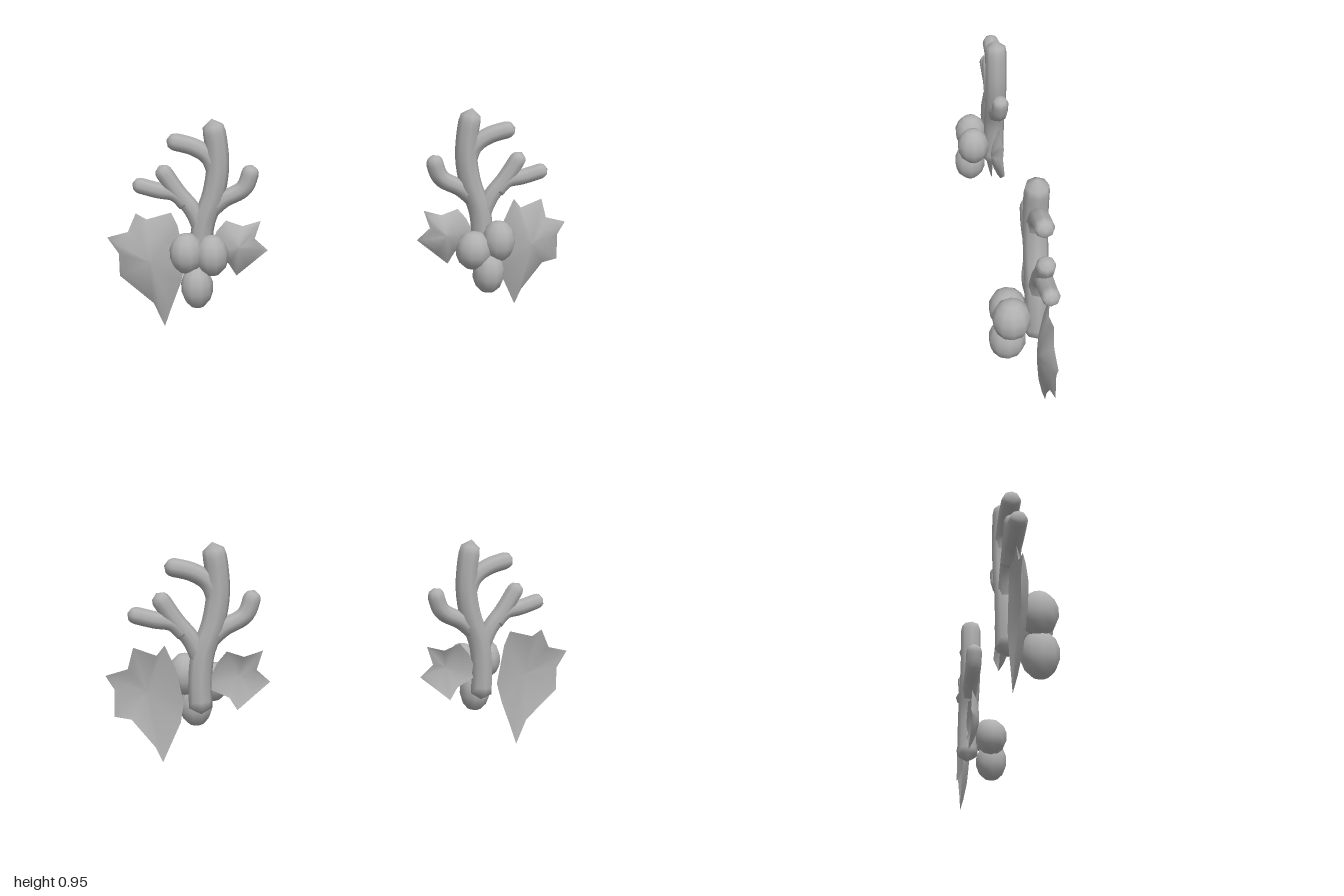
import * as THREE from 'three';
import { mergeVertices } from 'three/addons/utils/BufferGeometryUtils.js';

const grey = new THREE.MeshStandardMaterial({ color: 0xb0b0b0 });
grey.name = 'matte grey';

// Outlines of the leaves, [x, y]
const outerLeafRight = [[0.783, 0.056], [0.81, 0.123], [0.9, 0.248], [0.965, 0.265], [0.96, 0.377], [0.992, 0.436],
  [0.905, 0.457], [0.88, 0.543], [0.79, 0.505], [0.757, 0.545], [0.715, 0.44], [0.69, 0.3], [0.705, 0.22]];
const outerLeafLeft = [[-0.776, 0], [-0.82, 0.11], [-0.957, 0.24], [-0.955, 0.34], [-1, 0.414], [-0.912, 0.436],
  [-0.874, 0.518], [-0.83, 0.49], [-0.725, 0.518], [-0.7, 0.457], [-0.672, 0.286], [-0.7, 0.195], [-0.745, 0.083]];
const innerLeaf = [[0.334, 0.366], [0.39, 0.42], [0.361, 0.5], [0.44, 0.478], [0.51, 0.505], [0.55, 0.46],
  [0.6, 0.36], [0.505, 0.31], [0.473, 0.254], [0.42, 0.297]];

// Antler branches: name, radius, path points
const branches = [
  ['stem', 0.048, [[0.62, 0.245], [0.62, 0.38], [0.605, 0.5], [0.56, 0.62], [0.537, 0.74], [0.54, 0.85], [0.555, 0.95]]],
  ['topProng', 0.038, [[0.54, 0.7], [0.57, 0.785], [0.63, 0.83], [0.745, 0.863]]],
  ['innerProng', 0.037, [[0.6, 0.53], [0.52, 0.6], [0.43, 0.65], [0.39, 0.75]]],
  ['outerProng', 0.037, [[0.61, 0.46], [0.65, 0.56], [0.71, 0.64], [0.78, 0.755]]],
  ['outerSideProng', 0.035, [[0.67, 0.58], [0.72, 0.632], [0.79, 0.648], [0.895, 0.68]]],
];

// Berries: centre and half sizes
const berriesRight = [[0.562, 0.352, 0.035, 0.078, 0.085, 0.075], [0.668, 0.392, 0.035, 0.072, 0.09, 0.075],
  [0.628, 0.255, 0.045, 0.07, 0.093, 0.074]];
const berriesLeft = [[-0.553, 0.36, 0.035, 0.07, 0.09, 0.075], [-0.658, 0.372, 0.035, 0.072, 0.088, 0.075],
  [-0.62, 0.227, 0.045, 0.068, 0.095, 0.074]];

function add(group, name, geometry) {
  const mesh = new THREE.Mesh(geometry, grey);
  mesh.name = name;
  group.add(mesh);
  return mesh;
}

// Rounded tube with closed ends
function branchGeometry(points, radius) {
  const curve = new THREE.CatmullRomCurve3(points.map(([x, y]) => new THREE.Vector3(x, y, -0.07)));
  const rings = 24, sides = 8;
  const geo = new THREE.TubeGeometry(curve, rings, radius, sides, false);
  const pos = geo.attributes.position, v = new THREE.Vector3();
  const length = curve.getLength();
  for (let i = 0; i <= rings; i++) {
    const t = i / rings, centre = curve.getPointAt(t);
    const fromTip = (1 - t) * length / (radius * 1.1);
    const scale = i === 0 ? 0 : fromTip >= 1 ? 1 : Math.sqrt(1 - (1 - fromTip) ** 2);
    for (let j = 0; j <= sides; j++) {
      const k = i * (sides + 1) + j;
      v.fromBufferAttribute(pos, k).sub(centre).multiplyScalar(scale).add(centre);
      pos.setXYZ(k, v.x, v.y, v.z);
    }
  }
  geo.deleteAttribute('uv');
  geo.deleteAttribute('normal');
  const merged = mergeVertices(geo, 1e-4);
  merged.computeVertexNormals();
  return merged;
}

// Domed leaf: concentric rings of the outline, with a front and a hollow back
function leafGeometry(outline) {
  const pts = outline.map(([x, y]) => new THREE.Vector2(x, y));
  if (THREE.ShapeUtils.isClockWise(pts)) pts.reverse();
  const n = pts.length, centre = new THREE.Vector2();
  pts.forEach((p) => centre.addScaledVector(p, 1 / n));
  const scales = [1, 0.8, 0.5, 0.2, 0];
  const verts = [], index = [];
  [0.045, 0.028].forEach((height, face) => {
    const base = verts.length / 3;
    for (const s of scales) {
      for (const p of pts) {
        verts.push(centre.x + (p.x - centre.x) * s, centre.y + (p.y - centre.y) * s, -0.082 + height * (1 - s * s));
      }
    }
    for (let r = 0; r < scales.length - 1; r++) {
      for (let i = 0; i < n; i++) {
        const a = base + r * n + i, b = base + r * n + (i + 1) % n, c = b + n, d = a + n;
        if (face === 0) index.push(a, b, c, a, c, d);
        else index.push(a, c, b, a, d, c);
      }
    }
  });
  const geo = new THREE.BufferGeometry();
  geo.setAttribute('position', new THREE.Float32BufferAttribute(verts, 3));
  geo.setIndex(index);
  geo.computeVertexNormals();
  return geo;
}

function cluster(name, place, outerLeaf, berries) {
  const group = new THREE.Group();
  group.name = name;
  for (const [part, radius, path] of branches) add(group, part, branchGeometry(path.map(place), radius));
  add(group, 'outerLeaf', leafGeometry(outerLeaf));
  add(group, 'innerLeaf', leafGeometry(innerLeaf.map(place)));
  for (const [x, y, z, rx, ry, rz] of berries) {
    const berry = add(group, 'berry', new THREE.SphereGeometry(1, 10, 7));
    berry.position.set(x, y, z);
    berry.scale.set(rx, ry, rz);
  }
  return group;
}

export function createModel() {
  const model = new THREE.Group();
  model.name = 'antlersWithHolly';
  model.add(cluster('leftAntler', ([x, y]) => [x, y], outerLeafRight, berriesRight));
  // the other side is mirrored and sits a little lower
  model.add(cluster('rightAntler', ([x, y]) => [0.016 - x, y - 0.028], outerLeafLeft, berriesLeft));
  return model;
}
